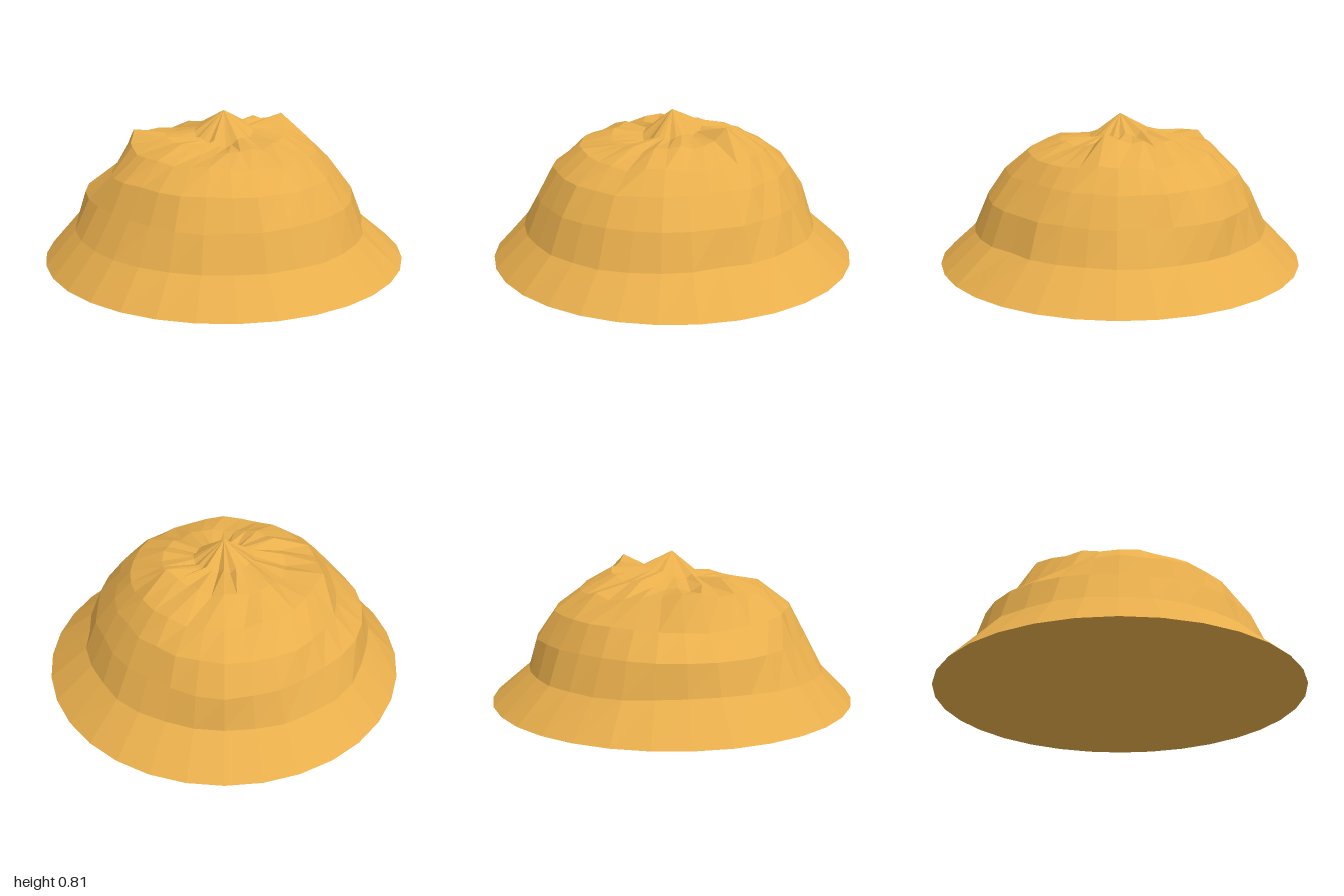
import * as THREE from 'three';

const SIDES = 32;
// Each ring: radius and height at eight compass points, from +x through the front (+z) and round
const RINGS = [
  { r: [1], y: [0] },
  { r: [0.78, 0.81, 0.83, 0.83, 0.82, 0.81, 0.80, 0.79], y: [0.18, 0.17, 0.17, 0.18, 0.20, 0.18, 0.18, 0.18] },
  { r: [0.71, 0.74, 0.74, 0.73, 0.77, 0.74, 0.745, 0.70], y: [0.36, 0.36, 0.35, 0.36, 0.36, 0.36, 0.36, 0.35] },
  { r: [0.60, 0.63, 0.65, 0.64, 0.61, 0.65, 0.66, 0.62], y: [0.51, 0.50, 0.51, 0.51, 0.47, 0.50, 0.51, 0.50] },
  { r: [0.51], y: [0.61, 0.60, 0.64, 0.61, 0.65, 0.61, 0.61, 0.61] },
  { r: [0.335], y: [0.68, 0.66, 0.65, 0.69, 0.64, 0.68, 0.69, 0.71] },
  { r: [0.165], y: [0.70, 0.68, 0.645, 0.69, 0.69, 0.71, 0.72, 0.71] },
  { r: [0], y: [0.81] },
];

function around(values, j) {
  const t = (j / SIDES) * values.length;
  const k = Math.floor(t), n = values.length;
  return THREE.MathUtils.lerp(values[k % n], values[(k + 1) % n], t - k);
}

// Small repeatable unevenness
function seeded(seed) {
  return () => {
    seed = (seed * 16807) % 2147483647;
    return seed / 2147483647 - 0.5;
  };
}

function moundGeometry() {
  const rand = seeded(4711);
  const last = RINGS.length - 1;
  const points = RINGS.map((ring, i) => Array.from({ length: SIDES }, (_, j) => {
    const a = (j / SIDES) * Math.PI * 2;
    let r = around(ring.r, j), y = around(ring.y, j);
    if (i > 0 && i < 4) r += rand() * 0.025;
    if (i > 3 && i < last) y += rand() * 0.035;
    // Two crags that stand above the crown
    if (i === 5 && j === 29) { r = 0.36; y = 0.76; }
    if (i === 4 && j === 17) { r = 0.54; y = 0.66; }
    return [r * Math.cos(a), y, r * Math.sin(a)];
  }));

  const pos = [];
  for (let i = 0; i < last; i++) {
    for (let j = 0; j < SIDES; j++) {
      const k = (j + 1) % SIDES;
      const a = points[i][j], b = points[i + 1][j];
      const c = points[i + 1][k], d = points[i][k];
      pos.push(...a, ...b, ...d);
      if (i < last - 1) pos.push(...b, ...c, ...d);
    }
  }
  const geo = new THREE.BufferGeometry();
  geo.setAttribute('position', new THREE.Float32BufferAttribute(pos, 3));
  geo.computeVertexNormals();
  return geo;
}

export function createModel() {
  const group = new THREE.Group();
  group.name = 'moundModel';
  const material = new THREE.MeshStandardMaterial({ color: 0xe8ae4c, flatShading: true });

  // Craggy faceted heap
  const mound = new THREE.Mesh(moundGeometry(), material);
  mound.name = 'mound';

  // Flat underside
  const base = new THREE.Mesh(new THREE.CircleGeometry(1, SIDES).rotateX(Math.PI / 2), material);
  base.name = 'base';

  group.add(mound, base);
  return group;
}
